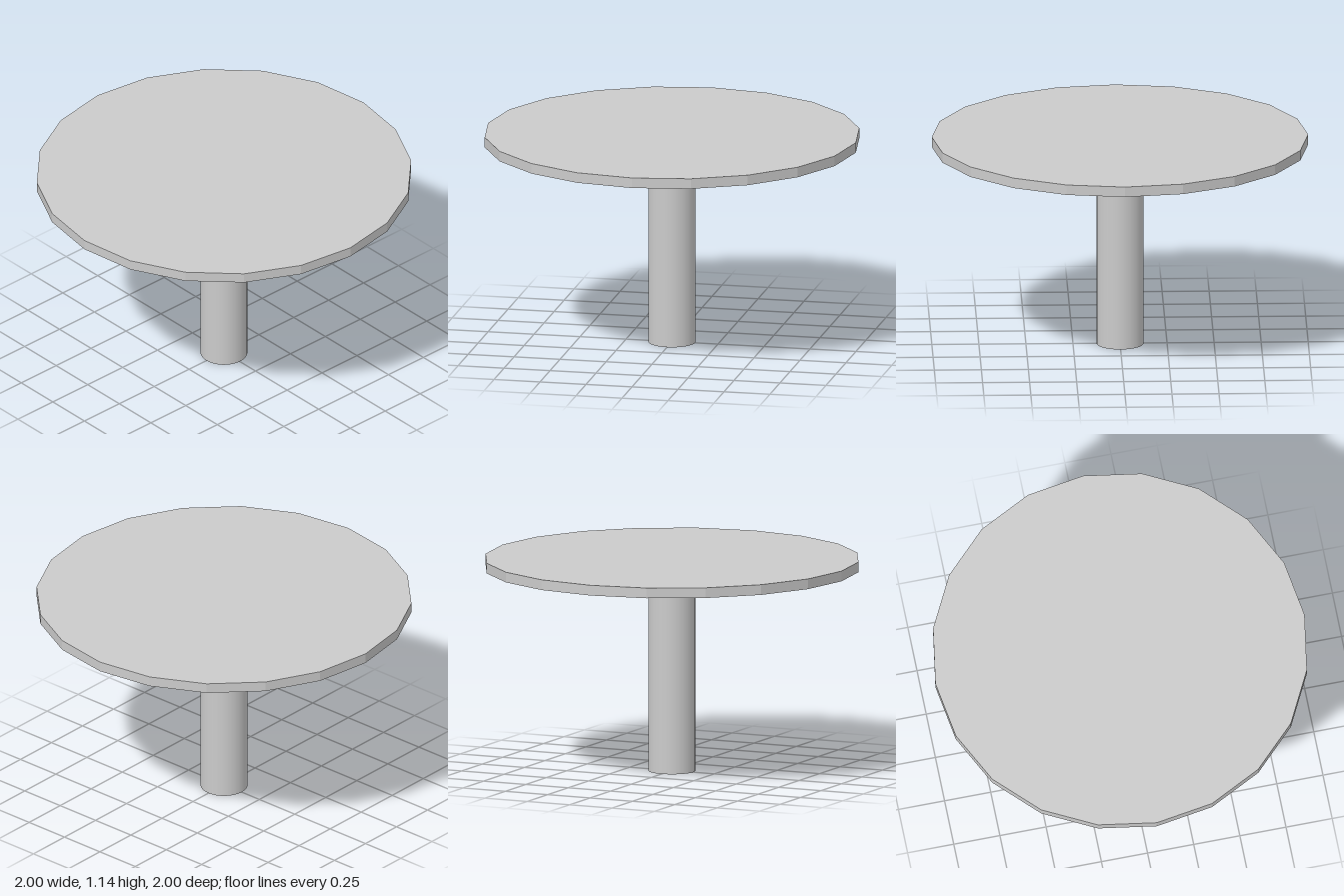
import * as THREE from 'three';

const LEG_HEIGHT = 1.09;
const TOP_THICKNESS = 0.055;

// Upright cylinder standing on the given base height
function disc(name, radius, height, sides, baseY, flatShading) {
  const mesh = new THREE.Mesh(
    new THREE.CylinderGeometry(radius, radius, height, sides),
    new THREE.MeshStandardMaterial({ color: 0xcccccc, flatShading })
  );
  mesh.name = name;
  mesh.position.y = baseY + height / 2;
  return mesh;
}

export function createModel() {
  const table = new THREE.Group();
  table.name = 'pedestalTable';

  // Smooth round central leg
  table.add(disc('leg', 0.125, LEG_HEIGHT, 32, 0, false));

  // Thin twenty-sided faceted top
  table.add(disc('tableTop', 1, TOP_THICKNESS, 20, LEG_HEIGHT, true));

  return table;
}
